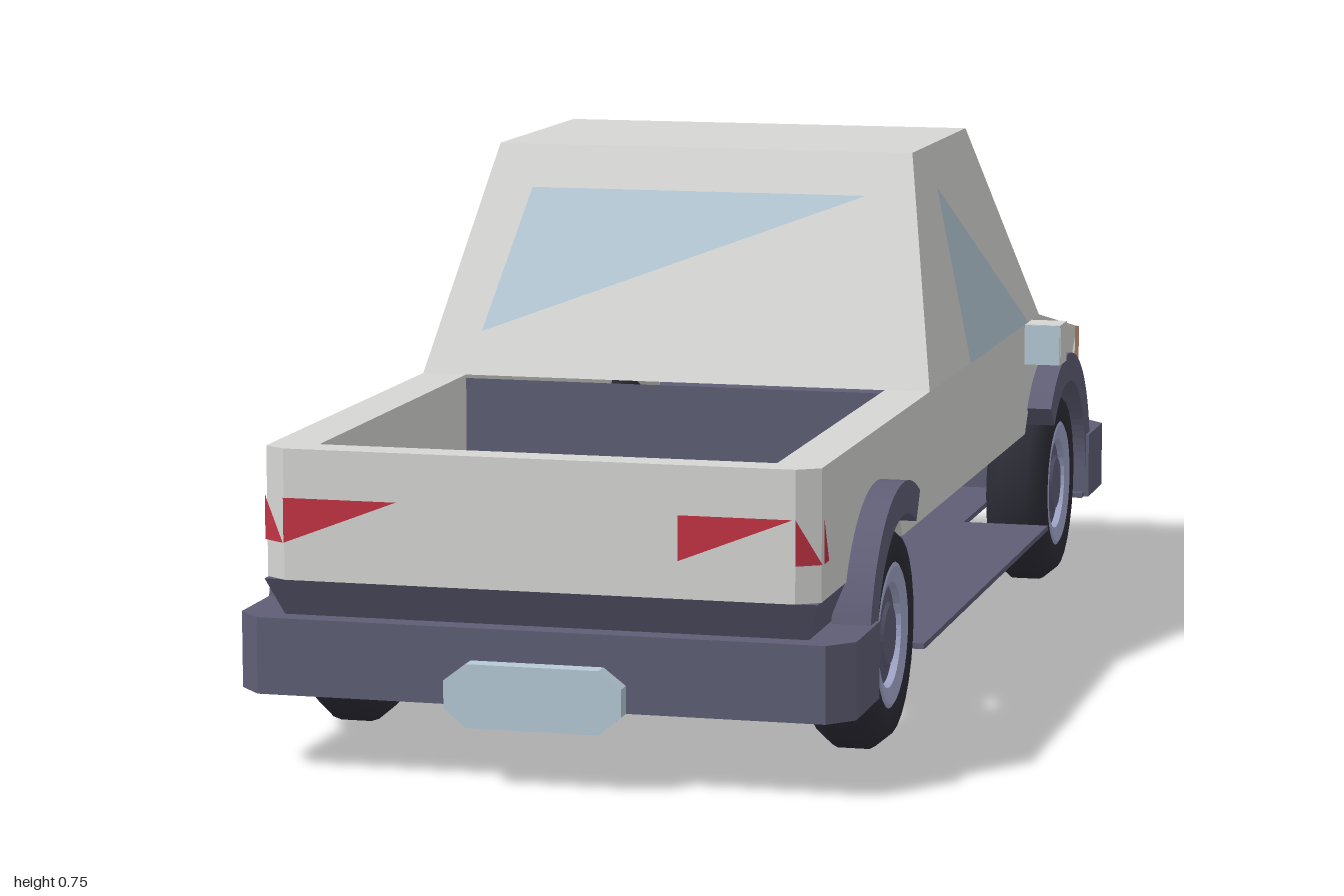
import * as THREE from 'three';

const mat = (name, color, flatShading = true) => {
  const m = new THREE.MeshStandardMaterial({ color, side: THREE.DoubleSide, flatShading });
  m.name = name;
  return m;
};

export function createModel() {
  const truck = new THREE.Group();
  truck.name = 'pickupTruck';
  const paint = mat('paint', 0xd6d6d4);
  const trim = mat('trim', 0x5f5e76);
  const glass = mat('glass', 0xb6cad6);
  const red = mat('tailRed', 0xc23345);
  const orange = mat('lampOrange', 0xdca080);
  const rubber = mat('rubber', 0x2c2c36, false);
  const rimMetal = mat('rimMetal', 0xa4a8cc);

  const add = (name, geo, material, parent = truck) => {
    const m = new THREE.Mesh(geo, material);
    m.name = name;
    parent.add(m);
    return m;
  };
  const poly = pts => new THREE.Shape(pts.map(p => new THREE.Vector2(...p)));
  // Outline in (z, y), extruded from x0 to x1
  const acrossX = (shape, x0, x1) =>
    new THREE.ExtrudeGeometry(shape, { depth: x1 - x0, bevelEnabled: false, curveSegments: 16 })
      .rotateY(-Math.PI / 2).translate(x1, 0, 0);
  // Outline in (x, z), extruded from y0 to y1
  const acrossY = (shape, y0, y1) =>
    new THREE.ExtrudeGeometry(shape, { depth: y1 - y0, bevelEnabled: false })
      .rotateX(Math.PI / 2).translate(0, y1, 0);
  // Mirror a half outline over x = 0
  const mirrored = half => poly([...half, ...half.map(([x, z]) => [-x, z]).reverse()]);
  // Flat fan of corner points
  const panel = (name, pts, material) => {
    const g = new THREE.BufferGeometry();
    g.setAttribute('position', new THREE.Float32BufferAttribute(pts.flat(), 3));
    g.setIndex(pts.slice(2).flatMap((_, i) => [0, i + 1, i + 2]));
    g.computeVertexNormals();
    return add(name, g, material);
  };
  // Box whose top and bottom are different rectangles [halfWidth, z0, z1]
  const frustum = (name, y0, lo, y1, hi, material) => {
    const g = new THREE.BoxGeometry(2, 1, 1);
    const p = g.attributes.position;
    for (let i = 0; i < p.count; i++) {
      const top = p.getY(i) > 0, r = top ? hi : lo;
      p.setXYZ(i, Math.sign(p.getX(i)) * r[0], top ? y1 : y0, p.getZ(i) > 0 ? r[2] : r[1]);
    }
    g.computeVertexNormals();
    return add(name, g, material);
  };

  const AXLES = [0.63, -0.63], AXLE_Y = 0.155;

  // Body sides with wheel cut-outs
  const side = new THREE.Shape();
  const cut = 0.2, a = Math.asin((0.26 - AXLE_Y) / cut);
  side.moveTo(-0.92, 0.26);
  for (const zc of [-0.63, 0.63]) side.absarc(zc, AXLE_Y, cut, Math.PI - a, a, true);
  side.lineTo(0.9, 0.26);
  side.lineTo(0.9, 0.435);
  side.lineTo(-0.57, 0.435);
  side.lineTo(-0.92, 0.37);
  add('bodySideLeft', acrossX(side, 0.31, 0.375), paint);
  add('bodySideRight', acrossX(side, -0.375, -0.31), paint);

  // Tailgate with cut corners
  add('tailgate', acrossY(mirrored([[0.31, 0.93], [0.31, 0.9], [0.375, 0.9], [0.375, 0.955], [0.345, 0.975]]), 0.26, 0.435), paint);

  // Hood, nose and cab
  panel('hood', [[-0.375, 0.435, -0.57], [0.375, 0.435, -0.57], [0.375, 0.37, -0.92], [-0.375, 0.37, -0.92]], paint);
  panel('nose', [[-0.375, 0.37, -0.92], [0.375, 0.37, -0.92], [0.375, 0.26, -0.92], [-0.375, 0.26, -0.92]], paint);
  frustum('cab', 0.435, [0.375, -0.57, 0.28], 0.755, [0.31, -0.29, 0.1], paint);
  panel('bedBulkhead', [[-0.31, 0.43, 0.28], [0.31, 0.43, 0.28], [0.31, 0.11, 0.28], [-0.31, 0.11, 0.28]], trim);

  // Windows lying on the sloping cab faces
  const t = y => (y - 0.435) / 0.32;
  const onRear = (x, y) => [x, y, 0.284 - 0.18 * t(y)];
  const onFront = (x, y) => [x, y + 0.002, -0.574 + 0.28 * t(y)];
  const onSide = (s, z, y) => [s * (0.379 - 0.065 * t(y)), y, z];
  panel('rearWindow', [onRear(-0.295, 0.495), onRear(0.25, 0.695), onRear(-0.25, 0.695)], glass);
  panel('windshield', [onFront(0.3, 0.44), onFront(-0.25, 0.695), onFront(0.25, 0.695)], glass);
  panel('sideWindowLeft', [onSide(1, 0, 0.695), onSide(1, 0, 0.437), onSide(1, -0.46, 0.437)], glass);
  panel('sideWindowRight', [onSide(-1, -0.24, 0.695), onSide(-1, -0.46, 0.437), onSide(-1, 0, 0.437)], glass);

  // Tail lights
  const zt = 0.978;
  panel('tailLightRight', [[-0.345, 0.31, zt], [-0.19, 0.37, zt], [-0.345, 0.37, zt]], red);
  panel('tailLightLeft', [[0.19, 0.31, zt], [0.342, 0.37, zt], [0.19, 0.37, zt]], red);
  panel('tailCornerRight', [[-0.377, 0.37, 0.958], [-0.377, 0.31, 0.958], [-0.346, 0.31, 0.978]], red);
  panel('tailCornerLeft', [[0.346, 0.37, 0.978], [0.346, 0.31, 0.978], [0.377, 0.31, 0.958]], red);
  for (const s of [1, -1])
    panel('tailLightSide', [[s * 0.378, 0.37, 0.953], [s * 0.378, 0.31, 0.953], [s * 0.378, 0.31, 0.925]], red);

  // Corner lamps wrap the nose; grille sits between them
  for (const s of [1, -1]) {
    const x = s * 0.378;
    panel('cornerLampFront', [[s * 0.29, 0.26, -0.923], [x, 0.26, -0.923], [x, 0.37, -0.923], [s * 0.29, 0.37, -0.923]], orange);
    panel('cornerLampSide', [[x, 0.26, -0.923], [x, 0.26, -0.885], [x, 0.375, -0.885], [x, 0.37, -0.923]], orange);
  }
  add('grille', new THREE.BoxGeometry(0.38, 0.05, 0.008), trim).position.set(0, 0.28, -0.922);

  // Floor with wheel notches
  add('floor', acrossY(mirrored([
    [0.41, -0.86], [0.41, -0.785], [0.275, -0.785], [0.275, -0.475], [0.41, -0.475],
    [0.41, 0.475], [0.275, 0.475], [0.275, 0.785], [0.41, 0.785], [0.41, 0.9]]), 0.105, 0.113), trim);

  // Bumpers, tapered skirts and end plates
  for (const [s, end, body] of [[1, 0.975, 0.972], [-1, 0.962, 0.918]]) {
    const where = s > 0 ? 'rear' : 'front';
    add(where + 'Bumper', acrossY(mirrored([[0.418, s * 0.8], [0.418, s * (end - 0.035)], [0.385, s * end]]), 0.105, 0.208), trim);
    const span = (z0, z1) => s > 0 ? [z0, z1] : [-z1, -z0];
    frustum(where + 'Skirt', 0.205, [0.355, ...span(0.8, body - 0.03)], 0.26, [0.374, ...span(0.8, body)], trim);
    const plate = poly([[-0.12, 0.105], [-0.09, 0.08], [0.09, 0.08], [0.12, 0.105], [0.12, 0.142], [0.09, 0.165], [-0.09, 0.165], [-0.12, 0.142]]);
    add(where + 'Plate', new THREE.ExtrudeGeometry(plate, { depth: 1 - end, bevelEnabled: false })
      .translate(0, 0, s > 0 ? end : -1), glass);
  }

  // Wheel arch flares; those on the left stop short of the open sill
  const arch = (zc, from, to, legs) => {
    const s = new THREE.Shape();
    if (legs) s.moveTo(zc + 0.24, 0.105);
    s.absarc(zc, AXLE_Y, 0.21, from, to, false);
    if (legs) {
      s.lineTo(zc - 0.24, 0.105);
      s.lineTo(zc - 0.165, 0.105);
    }
    s.absarc(zc, AXLE_Y, 0.165, to, from, true);
    if (legs) s.lineTo(zc + 0.165, 0.105);
    return s;
  };
  for (const zc of AXLES) {
    add('wheelArchRight', acrossX(arch(zc, 0, Math.PI, true), -0.418, -0.36), trim);
    const [from, to] = zc > 0 ? [0, 2.1] : [0.75, Math.PI];
    add('wheelArchLeft', acrossX(arch(zc, from, to, false), 0.36, 0.413), trim);
  }

  // Right sill: upper panel and lower step
  add('sillPanel', acrossX(poly([[-0.43, 0.16], [0.43, 0.16], [0.46, 0.26], [-0.46, 0.26]]), -0.374, -0.36), trim);
  add('sillStep', acrossX(poly([[-0.4, 0.105], [0.4, 0.105], [0.4, 0.16], [-0.4, 0.16]]), -0.418, -0.36), trim);

  // Door mirrors with glass on the rearward face
  for (const s of [1, -1]) {
    add('mirror', new THREE.BoxGeometry(0.058, 0.063, 0.056), paint).position.set(s * 0.402, 0.403, -0.48);
    add('mirrorGlass', new THREE.BoxGeometry(0.057, 0.062, 0.005), glass).position.set(s * 0.402, 0.403, -0.451);
  }

  // Wheels, modelled along +y with the outer face up
  const lathe = pts => new THREE.LatheGeometry(pts.map(p => new THREE.Vector2(...p)), 28);
  const tyre = lathe([[0, -0.046], [0.11, -0.046], [0.135, -0.046], [0.155, -0.022], [0.155, 0.022], [0.135, 0.046], [0.1, 0.046], [0.095, 0.03], [0, 0.03]]);
  const rim = lathe([[0.1, 0.044], [0.094, 0.047], [0.072, 0.042], [0.068, 0.03]]);
  const hub = lathe([[0.068, 0.033], [0.045, 0.038], [0.04, 0.042], [0, 0.042]]);
  for (const zc of AXLES) for (const s of [1, -1]) {
    const wheel = new THREE.Group();
    wheel.name = 'wheel';
    add('tyre', tyre, rubber, wheel);
    add('rim', rim, rimMetal, wheel);
    add('hub', hub, trim, wheel);
    wheel.rotation.z = -s * Math.PI / 2;
    wheel.position.set(s * 0.353, AXLE_Y, zc);
    truck.add(wheel);
  }
  return truck;
}
